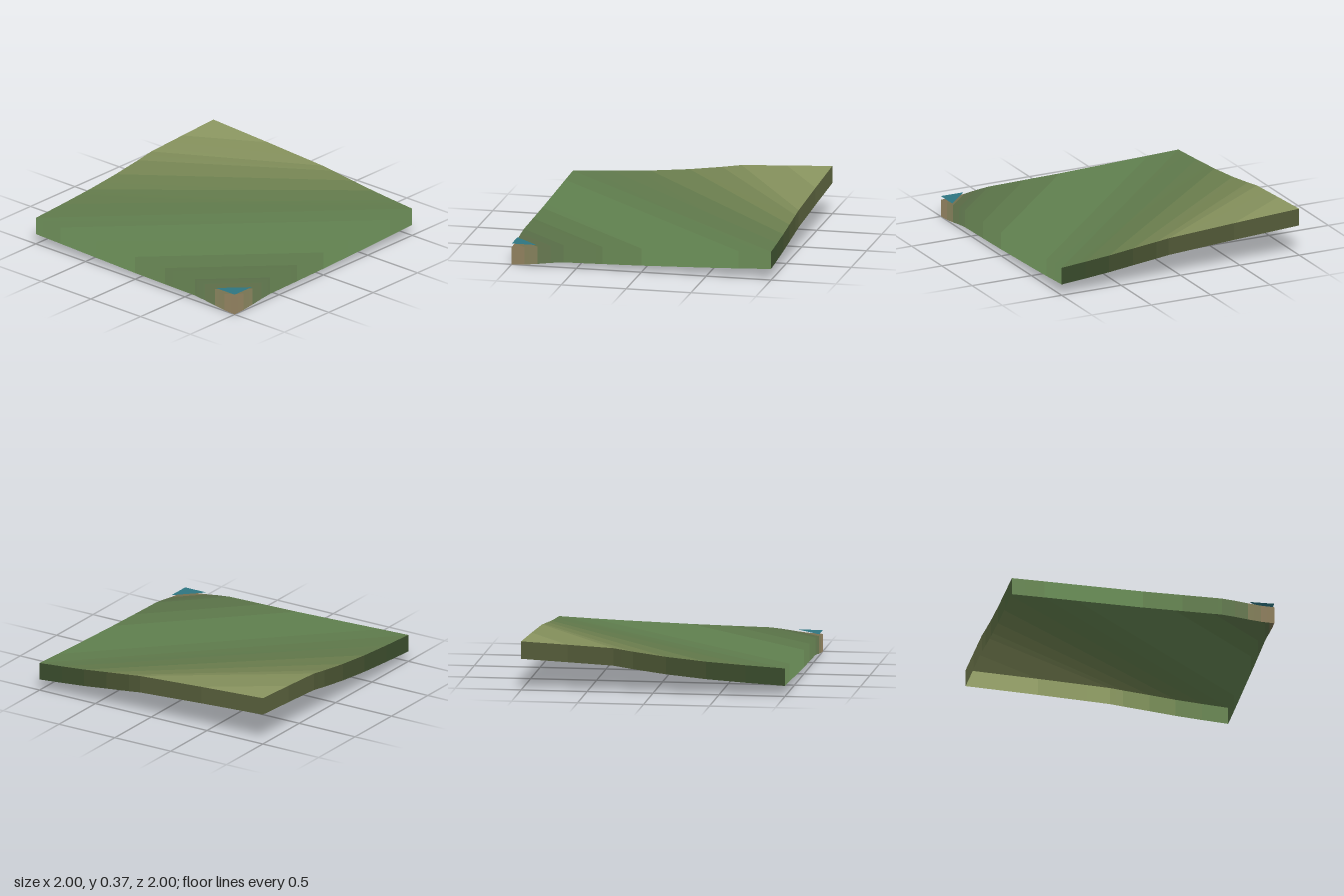
import * as THREE from 'three';

const SKIRT = 0.133;
const COLUMNS = 10;

// Contour lines running diagonally across the tile, from the hilltop corner to the shore.
// [position on left/front edge, height there, position on back/right edge, height there, colour]
const CONTOURS = [
  [-2, 0.37, -2, 0.37, 0x8a9560],
  [-1.65, 0.353, -1.45, 0.342, 0x838f5b],
  [-1.3, 0.335, -0.9, 0.31, 0x7b8856],
  [-1.15, 0.312, -0.8, 0.298, 0x738251],
  [-0.9, 0.279, -0.6, 0.276, 0x6a7d4d],
  [-0.6, 0.25, -0.4, 0.253, 0x61784a],
  [-0.3, 0.23, -0.2, 0.235, 0x5e784a],
  [0, 0.213, 0, 0.219, 0x5e7b4c],
  [0.25, 0.206, 0.25, 0.208, 0x5f7f4e],
  [0.5, 0.198, 0.5, 0.199, 0x5f7f4e],
  [1, 0.183, 1, 0.184, 0x5c784a],
  [1.3, 0.178, 1.3, 0.178, 0x597247],
  [1.6, 0.173, 1.6, 0.173, 0x576c46],
  [1.7, 0.163, 1.7, 0.163, 0x5a6a46],
  [1.8, 0.149, 1.8, 0.149, 0x74704f],
  [1.9, 0.138, 1.9, 0.138, 0x7e7052],
  [2, 0.133, 2, 0.133, 0x7e7052],
];

// Points where a contour meets the square outline
const leftEnd = ([s, h]) => new THREE.Vector3(Math.max(-1, s - 1), h, Math.min(1, s + 1));
const rightEnd = ([, , s, h]) => new THREE.Vector3(Math.min(1, s + 1), h, Math.max(-1, s - 1));

// Ground normal at one end of contour i, from the slope between its neighbours
function endNormal(i, end) {
  const before = CONTOURS[Math.max(i - 1, 0)];
  const after = CONTOURS[Math.min(i + 1, CONTOURS.length - 1)];
  const slope = (after[end + 1] - before[end + 1]) / (after[end] - before[end]);
  return new THREE.Vector3(-slope, 1, -slope).normalize();
}

// Ground sheet with a hanging skirt, open underneath; the skirt shares the ground normals
function createTerrain() {
  const positions = [];
  const normals = [];
  const indices = [];
  const geometry = new THREE.BufferGeometry();
  const rowSize = COLUMNS + 3;

  CONTOURS.forEach((contour, i) => {
    const [left, right] = [leftEnd(contour), rightEnd(contour)];
    const [leftNormal, rightNormal] = [endNormal(i, 0), endNormal(i, 2)];
    for (let j = -1; j <= COLUMNS + 1; j++) {
      const t = THREE.MathUtils.clamp(j / COLUMNS, 0, 1);
      const point = left.clone().lerp(right, t);
      if (j < 0 || j > COLUMNS) point.y -= SKIRT;
      positions.push(...point);
      normals.push(...leftNormal.clone().lerp(rightNormal, t).normalize());
    }
  });

  // one colour band between each pair of contours
  const bands = CONTOURS.slice(0, -1);
  const bandSize = (rowSize - 1) * 6;
  const materials = bands.map((contour, i) => {
    for (let j = 0; j < rowSize - 1; j++) {
      const a = i * rowSize + j;
      const d = a + rowSize;
      indices.push(a, d, d + 1, a, d + 1, a + 1);
    }
    geometry.addGroup(i * bandSize, bandSize, i);
    return new THREE.MeshStandardMaterial({ color: contour[4], side: THREE.DoubleSide });
  });

  geometry.setAttribute('position', new THREE.Float32BufferAttribute(positions, 3));
  geometry.setAttribute('normal', new THREE.Float32BufferAttribute(normals, 3));
  geometry.setIndex(indices);
  const mesh = new THREE.Mesh(geometry, materials);
  mesh.name = 'hillside';
  return mesh;
}

// Flat triangle of water over the low corner
function createWater() {
  const shape = new THREE.Shape();
  shape.moveTo(0.81, -1);
  shape.lineTo(1, -1);
  shape.lineTo(1, -0.81);
  shape.closePath();
  const geometry = new THREE.ShapeGeometry(shape).rotateX(-Math.PI / 2).translate(0, 0.162, 0);
  const material = new THREE.MeshStandardMaterial({ color: 0x2d7480, side: THREE.DoubleSide });
  const mesh = new THREE.Mesh(geometry, material);
  mesh.name = 'water';
  return mesh;
}

export function createModel() {
  const model = new THREE.Group();
  model.name = 'terrainTile';
  model.add(createTerrain(), createWater());
  return model;
}
